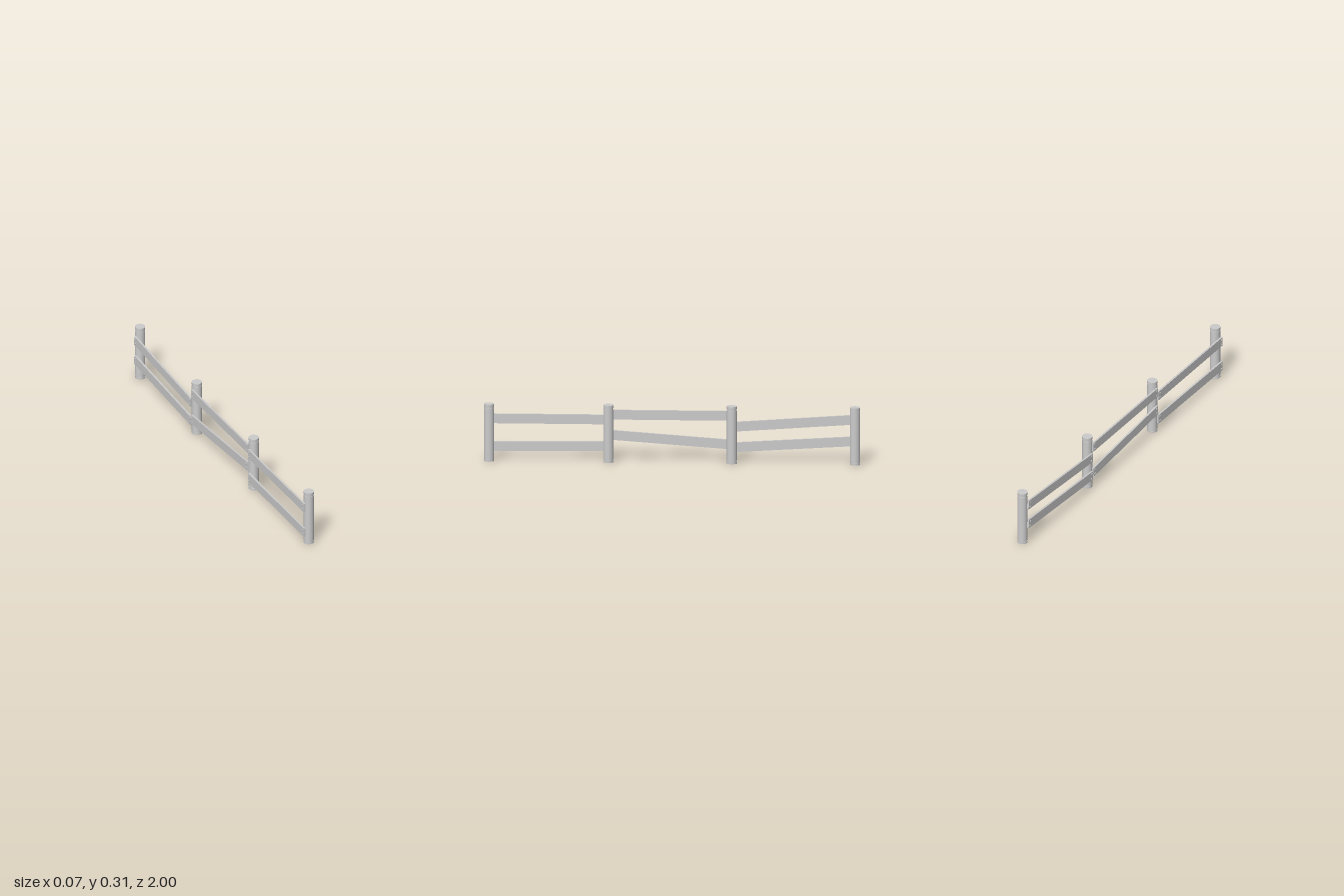
import * as THREE from 'three';

const material = new THREE.MeshStandardMaterial({ color: 0xcccccc });

function addMesh(parent, name, geometry, x, y, z) {
  const mesh = new THREE.Mesh(geometry, material);
  mesh.name = name;
  mesh.position.set(x, y, z);
  parent.add(mesh);
  return mesh;
}

// Round post: stacked drums with a narrow groove near each end
function makePost(z) {
  const post = new THREE.Group();
  post.name = 'post';
  const sections = [
    ['postBase', 0, 0.010, 0.0275],
    ['lowerGroove', 0.010, 0.015, 0.0255],
    ['postShaft', 0.015, 0.290, 0.0275],
    ['upperGroove', 0.290, 0.298, 0.0255],
    ['postCap', 0.298, 0.312, 0.0275],
  ];
  for (const [name, y0, y1, r] of sections) {
    addMesh(post, name, new THREE.CylinderGeometry(r, r, y1 - y0, 32), 0, (y0 + y1) / 2, 0);
  }
  post.position.set(0.006, 0, z);
  return post;
}

// Plank between two (z, y) ends, with a pair of bolts at each end
function makeRail(z0, y0, z1, y1) {
  const rail = new THREE.Group();
  rail.name = 'rail';
  const length = Math.hypot(z1 - z0, y1 - y0);
  addMesh(rail, 'plank', new THREE.BoxGeometry(0.0105, 0.052, length), 0, 0, 0);
  for (const end of [-1, 1]) {
    for (const side of [-1, 1]) {
      const bolt = addMesh(rail, 'bolt', new THREE.CylinderGeometry(0.005, 0.005, 0.004, 12),
        -0.007, side * 0.0135, end * (length / 2 - 0.013));
      bolt.rotation.z = Math.PI / 2;
    }
  }
  rail.position.set(-0.0262, (y0 + y1) / 2, (z0 + z1) / 2);
  rail.rotation.x = -Math.atan2(y1 - y0, z1 - z0);
  return rail;
}

export function createModel() {
  const fence = new THREE.Group();
  fence.name = 'fence';

  for (const z of [-0.973, -0.318, 0.338, 0.973]) fence.add(makePost(z));

  // Each bay: z range, then start and end heights of its two rails
  const bays = [
    { z: [-0.969, -0.321], rails: [[0.237, 0.191], [0.119, 0.079]] },
    { z: [-0.315, 0.336], rails: [[0.251, 0.251], [0.094, 0.141]] },
    { z: [0.342, 0.988], rails: [[0.224, 0.224], [0.078, 0.072]] },
  ];
  for (const { z, rails } of bays) {
    for (const [y0, y1] of rails) fence.add(makeRail(z[0], y0, z[1], y1));
  }
  return fence;
}
